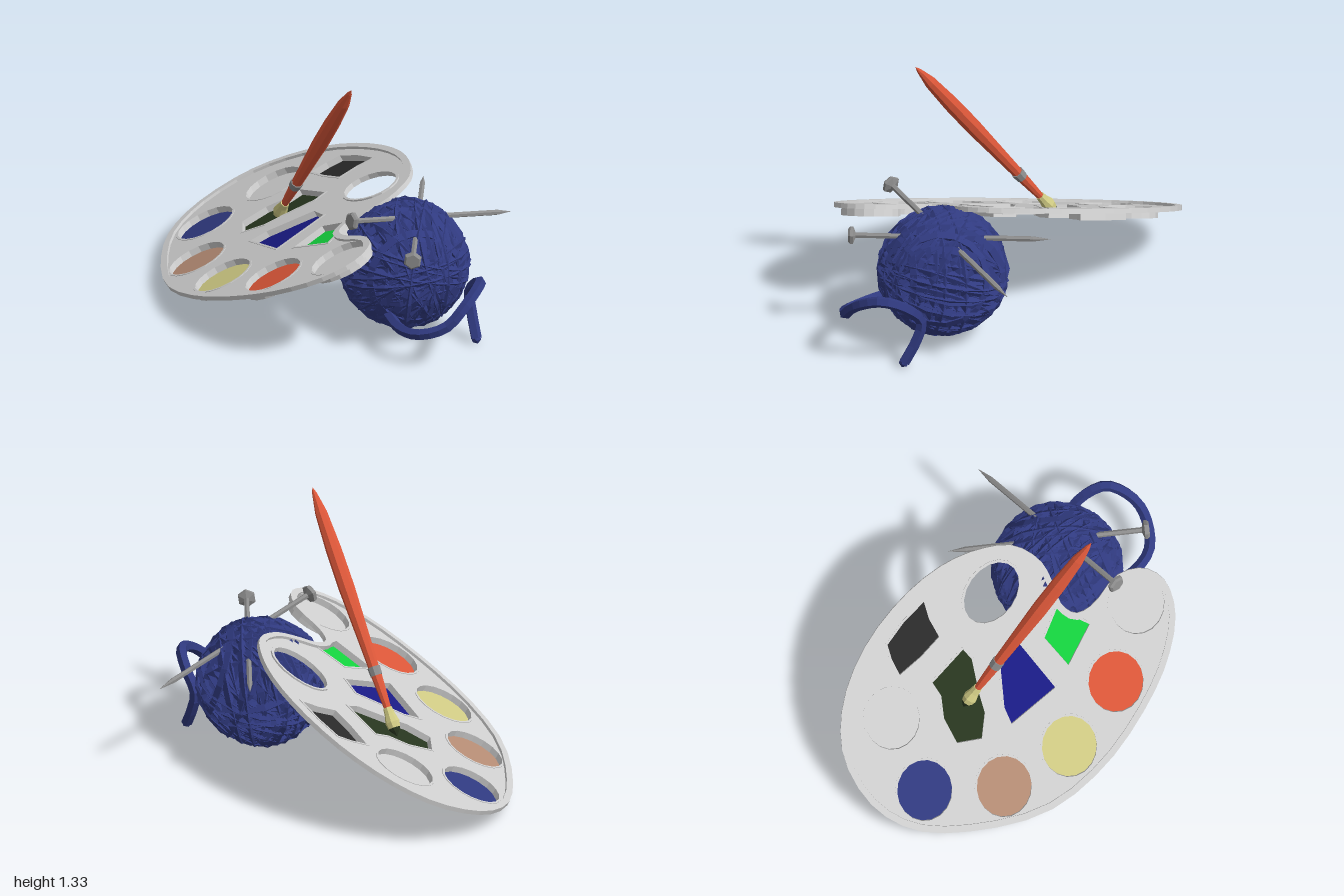
import * as THREE from 'three';

const mat = (name, color) => {
  const m = new THREE.MeshStandardMaterial({ color, flatShading: true });
  m.name = name;
  return m;
};

export function createModel() {
  const M = {
    palette: mat('light grey', 0xcfcfcf), metal: mat('metal grey', 0x8c8c8c),
    yarn: mat('yarn blue', 0x303a80), red: mat('red', 0xdc5739),
    yellow: mat('pale yellow', 0xd0cb84), brown: mat('tan', 0xb58c74),
    navy: mat('deep blue', 0x191a85), green: mat('green', 0x14d23e),
    olive: mat('dark olive', 0x28361f), black: mat('black', 0x2a2a2a),
  };
  const root = new THREE.Group();
  const group = (name) => {
    const g = new THREE.Group();
    g.name = name;
    root.add(g);
    return g;
  };
  const add = (parent, name, geo, material) => {
    const mesh = new THREE.Mesh(geo, material);
    mesh.name = name;
    parent.add(mesh);
    return mesh;
  };

  // ---- Palette: plan outlines (x, z) laid on the tilted plane y = A + Bx + Cz ----
  const A = 0.48, B = 0.32, C = -0.39;
  const normal = new THREE.Vector3(-B, 1, -C).normalize();
  const tilt = new THREE.Matrix4()
    .makeBasis(new THREE.Vector3(1, B, 0), new THREE.Vector3(0, -C, -1), normal)
    .setPosition(0, A, 0);
  const poly = (list) => {
    const p = list.map(([x, z]) => new THREE.Vector2(x, -z));
    return THREE.ShapeUtils.isClockWise(p) ? p.reverse() : p;
  };
  const ellipse = (x, z, rx, rz, n = 18) => poly(Array.from({ length: n }, (_, i) => {
    const a = (i / n) * Math.PI * 2;
    return [x + rx * Math.cos(a), z + rz * Math.sin(a)];
  }));
  // grow (or shrink) a counter-clockwise outline by d
  const offset = (pts, d) => pts.map((p, i) => {
    const n = pts.length;
    const e1 = p.clone().sub(pts[(i + n - 1) % n]).normalize();
    const e2 = pts[(i + 1) % n].clone().sub(p).normalize();
    const n1 = new THREE.Vector2(e1.y, -e1.x), n2 = new THREE.Vector2(e2.y, -e2.x);
    const m = n1.clone().add(n2).normalize();
    return p.clone().addScaledVector(m, d / Math.max(0.5, m.dot(n1)));
  });
  // slab between heights h0 and h1 above the palette plane
  const slab = (outline, holes, h0, h1) => {
    const shape = new THREE.Shape(outline);
    holes.forEach((h) => shape.holes.push(new THREE.Path(h)));
    return new THREE.ExtrudeGeometry(shape, { depth: h1 - h0, bevelEnabled: false })
      .translate(0, 0, h0).applyMatrix4(tilt);
  };

  const edge = [[-1, .05], [-.95, -.19], [-.8, -.35], [-.56, -.455], [-.27, -.487], [-.02, -.455],
    [.17, -.375], [.3, -.27], [.345, -.13], [.32, -.02], [.285, .07], [.305, .145], [.39, .178],
    [.57, .17], [.685, .24], [.72, .35], [.66, .48], [.49, .6], [.25, .68], [-.07, .72],
    [-.4, .67], [-.72, .48], [-.93, .27]];
  const curve = new THREE.CatmullRomCurve3(edge.map(([x, z]) => new THREE.Vector3(x, 0, z)), true);
  const outline = poly(curve.getPoints(60).slice(0, -1).map((p) => [p.x, p.z]));
  const thumb = ellipse(.075, -.2, .155, .11);

  const round = (x, z) => ellipse(x, z, .136, .132);
  const wells = [
    ['blueWell', M.yarn, round(-.77, .187)],
    ['tanWell', M.brown, round(-.48, .444)],
    ['yellowWell', M.yellow, round(-.128, .54)],
    ['redWell', M.red, round(.235, .497)],
    ['emptyRightWell', M.palette, round(.55, .326)],
    ['emptyLeftWell', M.palette, round(-.663, -.144)],
    ['blackWell', M.black, poly([[-.45, -.39], [-.32, -.405], [-.19, -.4], [-.225, -.33], [-.245, -.24],
      [-.37, -.24], [-.5, -.255], [-.48, -.33]])],
    ['oliveWell', M.olive, poly([[-.41, -.12], [-.2, -.12], [-.2, -.06], [-.28, .07], [-.32, .15],
      [-.41, .22], [-.51, .15], [-.48, .03], [-.42, -.05]])],
    ['deepBlueWell', M.navy, poly([[-.09, .02], [.015, .04], [.005, .31], [-.26, .275], [-.235, .2]])],
    ['greenWell', M.green, poly([[.12, .12], [.255, .07], [.32, .23], [.12, .285]])],
  ];

  const palette = group('palette');
  add(palette, 'plate', slab(outline, [thumb, ...wells.map((w) => w[2])], -.01, 0), M.palette);
  add(palette, 'rim', slab(outline, [offset(outline, -.03)], -.01, .014), M.palette);
  add(palette, 'thumbHoleRim', slab(offset(thumb, .012), [thumb], -.018, .008), M.palette);
  for (const [name, paint, shape] of wells) {
    const outer = offset(shape, .01);
    add(palette, name + 'Wall', slab(outer, [shape], -.045, .003), M.palette);
    add(palette, name + 'Base', slab(outer, [], -.047, -.035), M.palette);
    add(palette, name + 'Paint', slab(shape, [], -.035, -.03), paint);
  }

  // ---- Helper: put parts built along +y between two points ----
  const up = new THREE.Vector3(0, 1, 0);
  const aim = (g, from, to) => {
    const dir = to.clone().sub(from);
    g.position.copy(from);
    g.quaternion.setFromUnitVectors(up, dir.clone().normalize());
    return dir.length();
  };
  const lathe = (profile, sides) =>
    new THREE.LatheGeometry(profile.map(([y, r]) => new THREE.Vector2(r, y)), sides);

  // ---- Paint brush ----
  const brush = group('brush');
  aim(brush, new THREE.Vector3(-.36, .32, .05), new THREE.Vector3(.41, 1.33, .153));
  add(brush, 'paintedTip', lathe([[-.015, 0], [.015, .022], [.03, .03]], 8), M.olive);
  add(brush, 'bristles', lathe([[.03, .03], [.06, .036], [.1, .026], [.135, .022], [.135, 0]], 8), M.yellow);
  add(brush, 'neck', lathe([[.125, 0], [.125, .017], [.2, .022], [.3, .027]], 8), M.red);
  add(brush, 'ferrule', lathe([[.3, 0], [.3, .03], [.345, .032], [.345, 0]], 8), M.metal);
  add(brush, 'handle', lathe([[.345, .027], [.5, .032], [.75, .04], [.95, .039], [1.14, .03],
    [1.24, .012], [1.274, 0]], 8), M.red);

  // ---- Ball of yarn: core wrapped in seeded rings of strand ----
  let seed = 11;
  const rand = () => (seed = (seed * 16807) % 2147483647) / 2147483647;
  const ball = group('yarnBall');
  ball.position.set(.455, .34, -.13);
  add(ball, 'core', new THREE.IcosahedronGeometry(.298, 2), M.yarn);
  for (let bundle = 0; bundle < 13; bundle++) {
    const axis = new THREE.Vector3(rand() * 2 - 1, (rand() * 2 - 1) * .9, rand() * 2 - 1).normalize();
    const start = (rand() - .5) * .2;
    for (let i = 0; i < 6; i++) {
      const d = start + (i - 2.5) * .046;
      const R = .284 + rand() * .018;
      const ring = new THREE.TorusGeometry(Math.sqrt(R * R - d * d), .026, 4, 16);
      ring.rotateZ(rand() * 6).translate(0, 0, d);
      const strand = add(ball, 'strand', ring, M.yarn);
      const wobble = new THREE.Vector3(rand() - .5, rand() - .5, rand() - .5).multiplyScalar(.16);
      strand.quaternion.setFromUnitVectors(new THREE.Vector3(0, 0, 1), axis.clone().add(wobble).normalize());
    }
  }

  // Loose end looping out from the ball
  const tail = [[.62, .18, .08], [.75, .165, .105], [.88, .175, .08], [.965, .22, -.02], [.98, .31, -.12],
    [.92, .37, -.25], [.81, .32, -.31], [.73, .23, -.32], [.76, .13, -.315], [.82, .025, -.3]]
    .map((p) => new THREE.Vector3(...p));
  const loose = group('looseYarn');
  add(loose, 'tail', new THREE.TubeGeometry(new THREE.CatmullRomCurve3(tail), 26, .028, 5), M.yarn);
  const cap = add(loose, 'tailEnd', new THREE.IcosahedronGeometry(.026, 0), M.yarn);
  cap.position.copy(tail[tail.length - 1]);

  // ---- Knitting needles: hexagonal head, shaft and point ----
  const needles = [[[.51, .685, .235], [.51, .47, -.73]], [[.855, .565, .105], [.08, .555, -.51]]];
  for (const [from, to] of needles) {
    const needle = group('needle');
    const L = aim(needle, new THREE.Vector3(...from), new THREE.Vector3(...to));
    add(needle, 'needleBody', lathe([[0, 0], [0, .036], [.01, .046], [.024, .046], [.036, .014],
      [L - .09, .014], [L, 0]], 6), M.metal);
  }
  // lathe surfaces run upward, so their faces already point outward
  return root;
}
